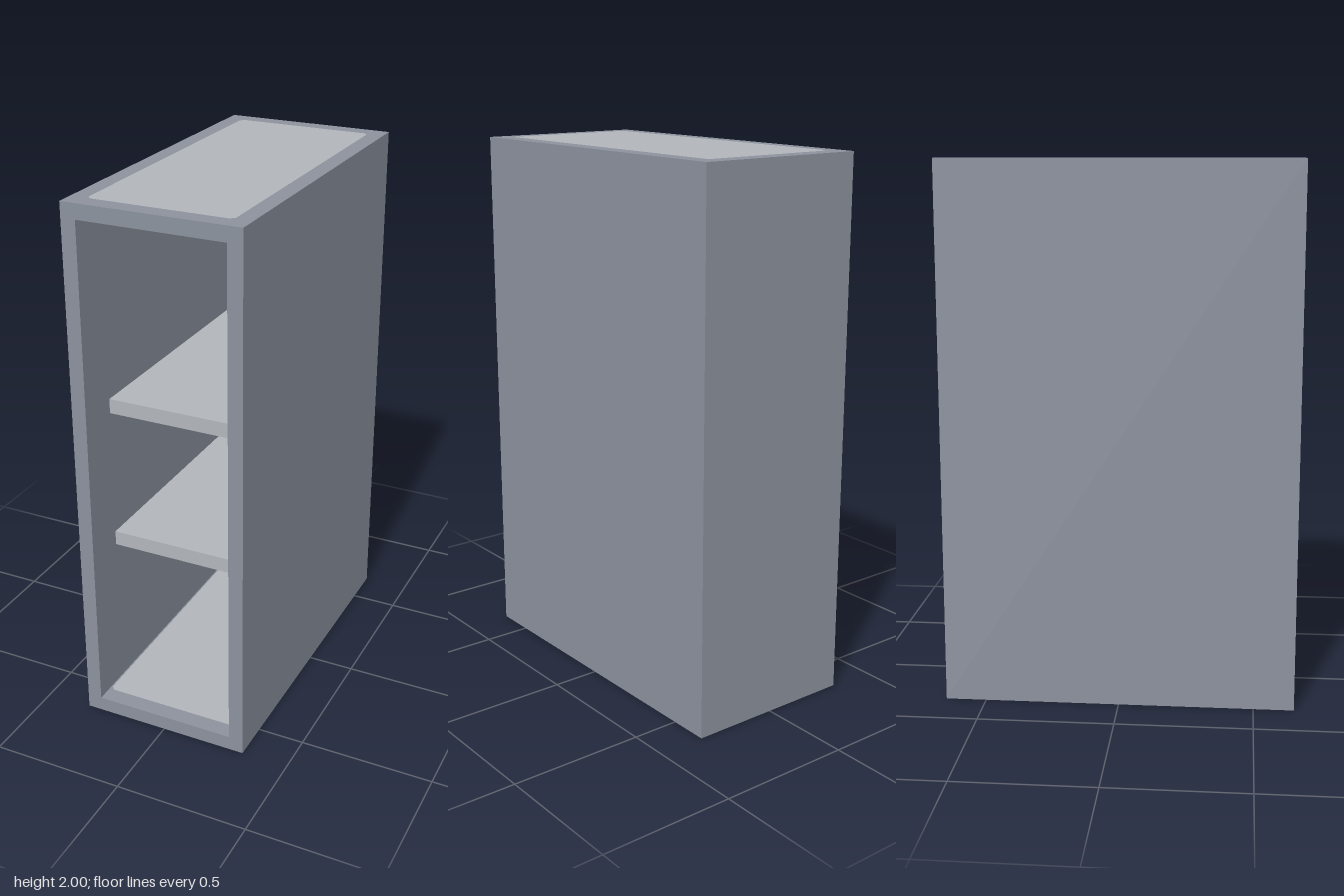
import * as THREE from 'three';
import { mergeGeometries } from 'three/addons/utils/BufferGeometryUtils.js';

const W = 0.65, H = 2, D = 1.3, T = 0.055; // outer size and wall thickness

// Box with its +z side left open; inward turns its faces to the inside
function openBox(w, h, zBack, zFront, inward) {
  const geo = new THREE.BoxGeometry(w, h, zFront - zBack);
  let index = Array.from(geo.index.array);
  index.splice(24, 6);
  if (inward) index = index.reverse();
  geo.setIndex(index);
  geo.clearGroups();
  geo.computeVertexNormals();
  return geo.translate(0, H / 2, (zBack + zFront) / 2);
}

// Rectangle outline with chamfered corners
function plateShape(w, d, c) {
  const x = w / 2, y = d / 2;
  return new THREE.Shape([
    [-x + c, -y], [x - c, -y], [x, -y + c], [x, y - c],
    [x - c, y], [-x + c, y], [-x, y - c], [-x, -y + c],
  ].map(([a, b]) => new THREE.Vector2(a, b)));
}

function rectPoints(x, y0, y1) {
  return [[-x, y0], [x, y0], [x, y1], [-x, y1]].map(([a, b]) => new THREE.Vector2(a, b));
}

export function createModel() {
  const model = new THREE.Group();
  const greyBlue = new THREE.MeshStandardMaterial({ color: 0x8c929e });
  const paleGrey = new THREE.MeshStandardMaterial({ color: 0xb2b6ba });

  const add = (name, geometry, material, x = 0, y = 0, z = 0) => {
    const mesh = new THREE.Mesh(geometry, material);
    mesh.name = name;
    mesh.position.set(x, y, z);
    model.add(mesh);
    return mesh;
  };

  // Cabinet: outer shell, inner lining and the front rim joining them
  const rim = new THREE.Shape(rectPoints(W / 2, 0, H));
  rim.holes.push(new THREE.Path(rectPoints(W / 2 - T, T, H - T)));
  add('cabinet', mergeGeometries([
    openBox(W, H, -D / 2, D / 2, false),
    openBox(W - 2 * T, H - 2 * T, -D / 2 + T, D / 2, true),
    new THREE.ShapeGeometry(rim).translate(0, 0, D / 2),
  ]), greyBlue);

  // Shelves, set back from the front opening
  const back = -D / 2 + T, front = 0.49;
  [0.677, 1.217].forEach((y, i) => {
    add(i ? 'upperShelf' : 'lowerShelf',
      new THREE.BoxGeometry(W - 2 * T, T, front - back), paleGrey, 0, y, (front + back) / 2);
  });

  // Pale panels on both faces of the top and the bottom
  const panel = new THREE.ShapeGeometry(plateShape(0.528, 1.174, 0.015));
  const gap = 0.001;
  [
    ['topPanel', H + gap, 1],
    ['ceilingPanel', H - T - gap, -1],
    ['floorPanel', T + gap, 1],
    ['undersidePanel', -gap, -1],
  ].forEach(([name, y, up]) => {
    add(name, panel, paleGrey, 0, y, 0).rotation.x = -up * Math.PI / 2;
  });

  return model;
}
